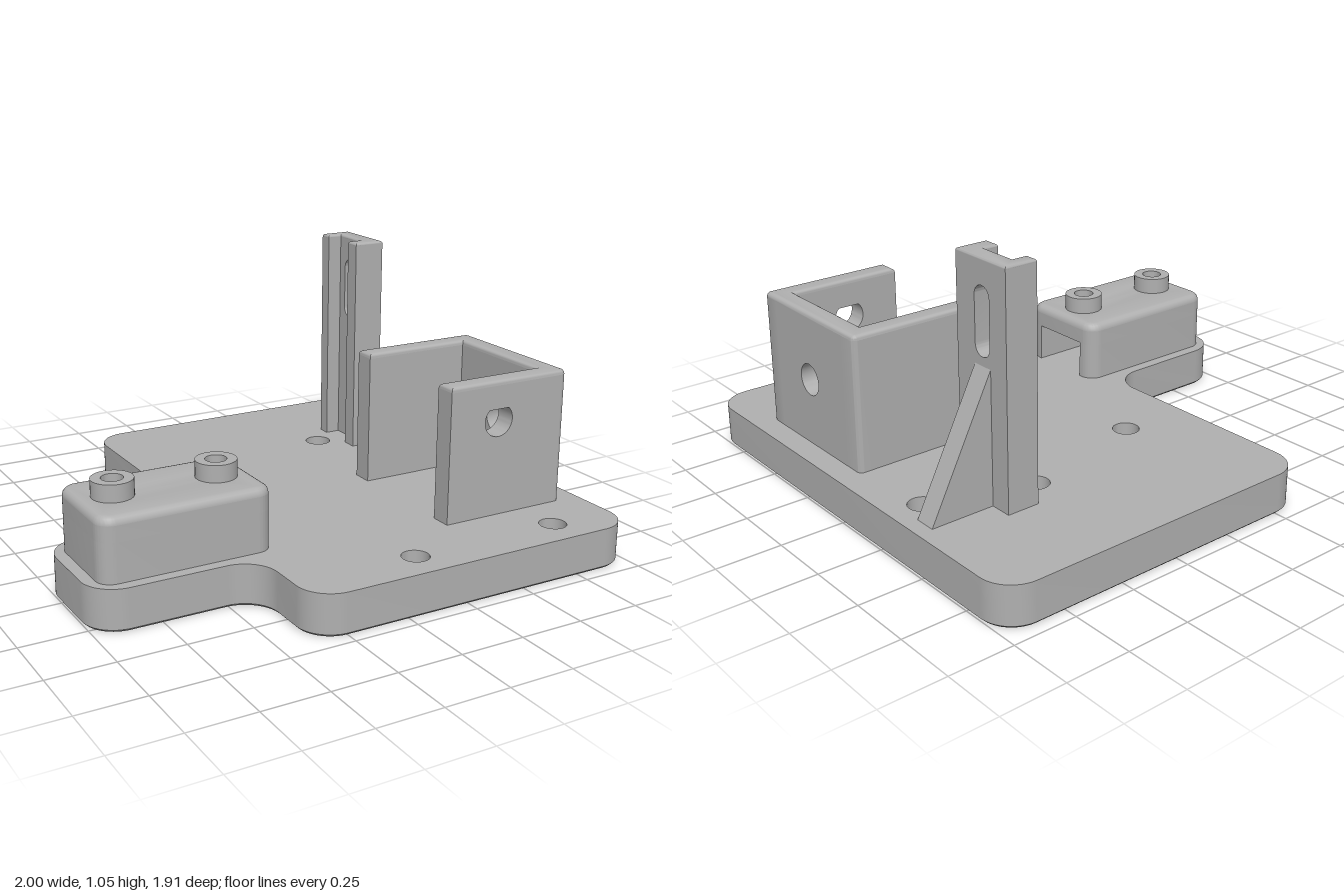
import * as THREE from 'three';
import { toCreasedNormals } from 'three/addons/utils/BufferGeometryUtils.js';

const grey = new THREE.MeshStandardMaterial({ color: 0xb0b0b0 });
grey.name = 'grey';

// Right-angled outline from [x, y, cornerRadius] points
function outline(points, Type = THREE.Shape) {
  const s = new Type();
  const n = points.length;
  const k = 0.4477; // control point position that gives a circular corner
  points.forEach(([x, y, r = 0], i) => {
    const p = new THREE.Vector2(x, y);
    const toward = (q, d) => p.clone().add(new THREE.Vector2(q[0] - x, q[1] - y).setLength(d));
    const prev = points[(i + n - 1) % n], next = points[(i + 1) % n];
    const a = r ? toward(prev, r) : p;
    if (i === 0) s.moveTo(a.x, a.y); else s.lineTo(a.x, a.y);
    if (r) {
      const b = toward(next, r), c1 = toward(prev, r * k), c2 = toward(next, r * k);
      s.bezierCurveTo(c1.x, c1.y, c2.x, c2.y, b.x, b.y);
    }
  });
  s.closePath();
  return s;
}

const rect = (x0, y0, x1, y1, r = 0) => outline([[x0, y0, r], [x1, y0, r], [x1, y1, r], [x0, y1, r]]);

function drill(shape, x, y, r) {
  shape.holes.push(new THREE.Path().absarc(x, y, r, 0, Math.PI * 2, true));
  return shape;
}

const extrude = (shape, depth, bevel = 0, segments = 4) => new THREE.ExtrudeGeometry(shape, {
  depth, curveSegments: 16, bevelEnabled: bevel > 0, bevelSize: bevel,
  bevelThickness: bevel, bevelOffset: -bevel, bevelSegments: segments,
});

// Plan shape (x, z) raised from y0 to y1
const prism = (shape, y0, y1) => extrude(shape, y1 - y0).rotateX(Math.PI / 2).translate(0, y1, 0);

// Thin plan layer with rounded rims; the inner rim is buried in the prism it finishes
const rim = (shape, top, r, segments) =>
  extrude(shape, 0.001, r, segments).rotateX(Math.PI / 2).translate(0, top - r, 0);

// Elevation shape (x, y) between z0 and z1
const frontPanel = (shape, z0, z1) => extrude(shape, z1 - z0).translate(0, 0, z0);

// Elevation shape (-z, y) between x0 and x1
const sidePanel = (shape, x0, x1) => extrude(shape, x1 - x0).rotateY(Math.PI / 2).translate(x0, 0, 0);

function part(name, ...geometries) {
  const g = new THREE.Group();
  g.name = name;
  geometries.forEach((geo, i) => {
    const m = new THREE.Mesh(toCreasedNormals(geo, 0.6), grey);
    m.name = `${name}Piece${i + 1}`;
    g.add(m);
  });
  return g;
}

const BASE = 0.16;

// Plate with a side tab and five through holes
function basePlate() {
  const R = 0.13;
  const s = outline([
    [-0.38, -0.955, R], [1, -0.955, R], [1, 0.955, R], [-0.38, 0.955, R],
    [-0.38, 0.57, R], [-1, 0.57, R], [-1, 0.085, R], [-0.38, 0.085, R],
  ]);
  for (const [x, z] of [[-0.09, -0.313], [0.463, -0.442], [0.865, -0.313], [0.11, 0.818], [0.73, 0.818]])
    drill(s, x, z, 0.052);
  return part('basePlate', prism(s, 0.0105, BASE), rim(s, 0.021, 0.01, 1));
}

// Hollow housing on the tab, open at one end, with two bosses
function housing() {
  const [x0, x1, z0, z1, r] = [-0.955, -0.295, 0.13, 0.525, 0.06];
  const walls = outline([
    [x0, z0, r], [x1, z0, r], [x1, z0 + 0.07], [x0 + 0.07, z0 + 0.07],
    [x0 + 0.07, z1 - 0.07], [x1, z1 - 0.07], [x1, z1, r], [x0, z1, r],
  ]);
  const lid = rect(x0, z0, x1, z1, r);
  const bosses = [-0.825, -0.425].map((x) => {
    drill(lid, x, 0.328, 0.042);
    const ring = drill(new THREE.Shape().absarc(x, 0.328, 0.077, 0, Math.PI * 2), x, 0.328, 0.04);
    return prism(ring, 0.312, 0.465);
  });
  const g = part('housing', prism(walls, BASE, 0.31), prism(lid, 0.31, 0.37), rim(lid, 0.4, 0.03));
  g.add(part('bosses', ...bosses));
  return g;
}

// Three-walled bracket with a teardrop hole in front and a round hole in the side
function bracket() {
  const [x0, x1, xi] = [0.375, 0.908, 0.825];
  const [z0, z1, zb, zf] = [0.015, 0.64, 0.098, 0.557];
  const b = 0.018, top = 0.69, wallTop = top - b;
  const front = rect(x0, BASE, xi, wallTop);
  const tear = new THREE.Path();
  const [cx, cy, r] = [0.595, 0.535, 0.063];
  tear.moveTo(cx, cy + r * Math.SQRT2);
  tear.absarc(cx, cy, r, Math.PI * 0.75, Math.PI * 2.25, false);
  tear.closePath();
  front.holes.push(tear);
  const side = drill(rect(-zf, BASE, -zb, wallTop), -0.338, 0.424, 0.062);
  const backPost = outline([[xi, z0], [x1, z0, 0.02], [x1, zb], [xi, zb]]);
  const frontPost = outline([[xi, zf], [x1, zf], [x1, z1, 0.02], [xi, z1]]);
  const plan = outline([
    [x0, z0], [x1, z0, 0.02], [x1, z1, 0.02], [x0, z1],
    [x0, zf], [xi, zf], [xi, zb], [x0, zb],
  ]);
  return part('bracket',
    frontPanel(front, zf, z1), frontPanel(rect(x0, BASE, xi, wallTop), z0, zb),
    sidePanel(side, xi, x1),
    prism(backPost, BASE, wallTop), prism(frontPost, BASE, wallTop), rim(plan, top, b));
}

// Channel column with a long slot and a triangular brace
function column() {
  const [x0, xw, x1] = [0.555, 0.615, 0.685];
  const [z0, za, zb, z1] = [-0.57, -0.518, -0.363, -0.3];
  const top = 1.05, b = 0.01;
  const web = rect(-zb, BASE, -za, top - b);
  const slot = new THREE.Path();
  slot.absarc(0.44, 0.74, 0.04, Math.PI, Math.PI * 2, false);
  slot.absarc(0.44, 0.913, 0.04, 0, Math.PI, false);
  slot.closePath();
  web.holes.push(slot);
  const plan = outline([
    [x0, z0], [x1, z0], [x1, z1], [x0, z1], [x0, zb], [xw, zb], [xw, za], [x0, za],
  ]);
  const g = part('column',
    sidePanel(web, xw, x1),
    prism(rect(x0, z0, x1, za), BASE, top - b), prism(rect(x0, zb, x1, z1), BASE, top - b),
    rim(plan, top, b));
  const brace = outline([[x1, BASE], [0.94, BASE], [x1, 0.667]]);
  g.add(part('brace', frontPanel(brace, -0.483, -0.397)));
  return g;
}

export function createModel() {
  const model = new THREE.Group();
  model.name = 'mountingPlate';
  model.add(basePlate(), housing(), bracket(), column());
  return model;
}
